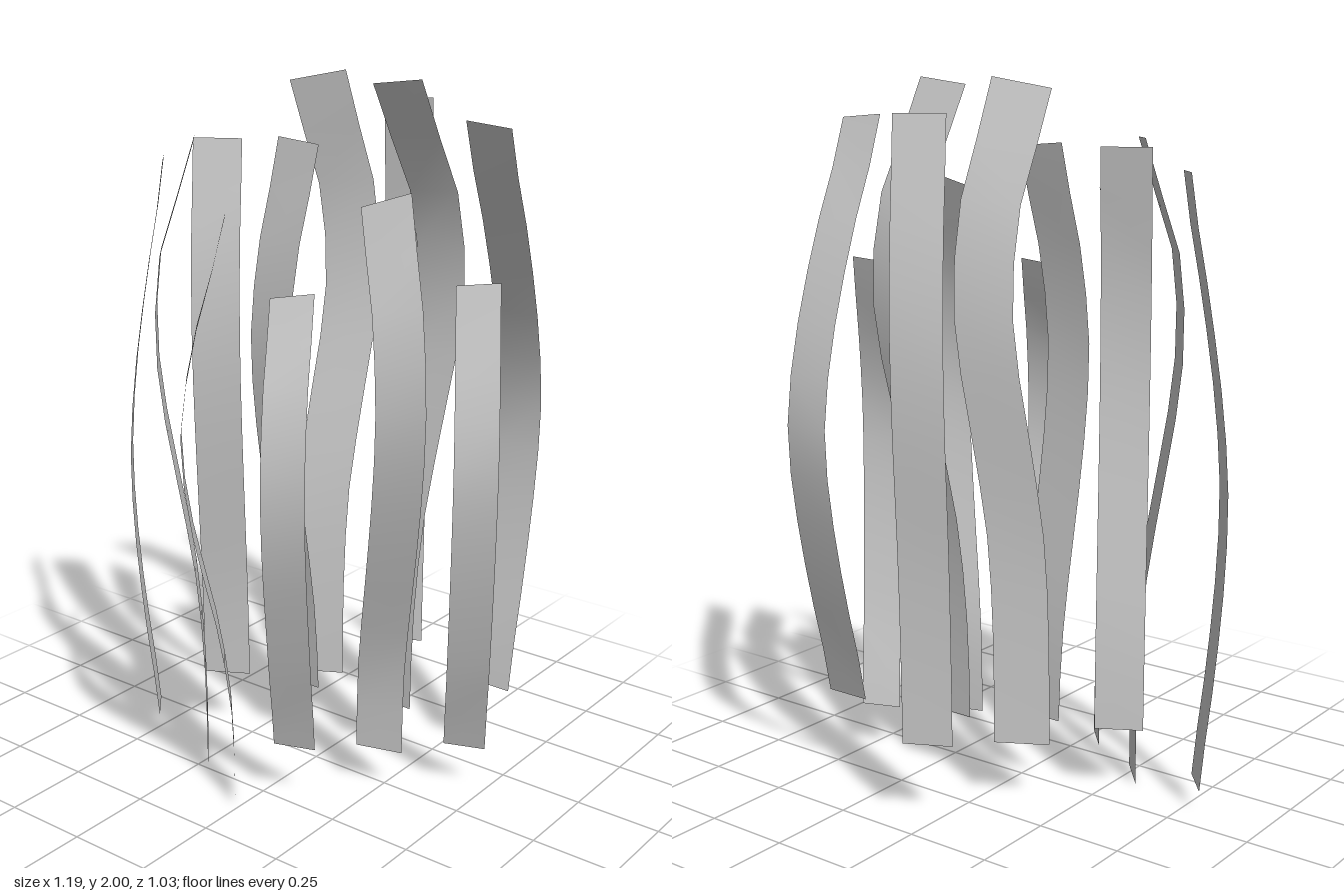
import * as THREE from 'three';

const ROWS = 12;
const material = new THREE.MeshStandardMaterial({ color: 0xcccccc, side: THREE.DoubleSide });

// A flat upright ribbon.
// edge: [x, z] of one lower corner, width: [x, z] across the ribbon,
// bow: [x, z] of the fullest sideways bend, shape: share of the bow from foot to tip,
// slant: how much higher the far corner of the tip is.
function ribbon(name, { edge, width, bow, foot, tip, slant = 0, shape }) {
  const profile = new THREE.SplineCurve(shape.map((f, i) => new THREE.Vector2(i, f)));
  const geometry = new THREE.PlaneGeometry(1, 1, 1, ROWS);
  const pos = geometry.attributes.position;
  for (let i = 0; i < pos.count; i++) {
    const u = pos.getX(i) + 0.5;
    const t = pos.getY(i) + 0.5;
    const f = profile.getPoint(t).y;
    const tilt = slant * (u - 0.5) * t ** 4;
    pos.setXYZ(
      i,
      edge[0] + width[0] * u + bow[0] * f,
      foot + (tip - foot) * t + tilt,
      edge[1] + width[1] * u + bow[1] * f
    );
  }
  geometry.computeVertexNormals();
  const mesh = new THREE.Mesh(geometry, material);
  mesh.name = name;
  return mesh;
}

export function createModel() {
  const group = new THREE.Group();
  group.name = 'ribbonCluster';
  group.add(
    // Right side
    ribbon('outerRightRibbon', {
      edge: [-0.507, 0.045], width: [0.08, 0.093], bow: [-0.09, 0.075],
      foot: 0.06, tip: 1.76, shape: [0.5, 0.75, 0.95, 1, 0.78, 0.4, 0] }),
    ribbon('frontRightRibbon', {
      edge: [-0.308, 0.137], width: [0.088, 0.103], bow: [-0.087, 0.075],
      foot: 0, tip: 1.84, shape: [0, 0.02, 0.2, 0.62, 0.98, 0.85, 0] }),
    ribbon('middleRightRibbon', {
      edge: [-0.372, 0.072], width: [0.12, -0.067], bow: [0.038, 0.067],
      foot: 0.2, tip: 1.82, shape: [0, 0.15, 0.5, 0.85, 1, 0.7, 0] }),

    // Centre
    ribbon('frontCentreRibbon', {
      edge: [-0.092, 0.268], width: [0.078, 0.089], bow: [-0.03, 0.155],
      foot: 0.02, tip: 1.675, slant: 0.03, shape: [0, 0.05, 0.35, 0.8, 1, 0.62, 0] }),
    ribbon('middleCentreRibbon', {
      edge: [-0.155, -0.033], width: [0.138, 0], bow: [-0.037, 0.083],
      foot: 0.21, tip: 1.825, slant: -0.01, shape: [0, 0.15, 0.5, 0.85, 1, 0.65, 0] }),
    ribbon('backCentreRibbon', {
      edge: [-0.192, -0.13], width: [0.136, -0.075], bow: [0.04, -0.113],
      foot: 0.18, tip: 1.985, slant: 0.03, shape: [0, 0.02, 0.17, 0.6, 1, 0.8, 0] }),
    ribbon('rearRibbon', {
      edge: [-0.058, -0.392], width: [0.124, -0.062], bow: [-0.036, -0.067],
      foot: 0.23, tip: 1.91, shape: [0, 0.1, 0.35, 0.8, 1, 0.65, 0] }),

    // Left side
    ribbon('frontLeftRibbon', {
      edge: [0.05, 0.26], width: [0.115, -0.04], bow: [0.08, 0.145],
      foot: 0.175, tip: 1.475, slant: 0.02, shape: [0, 0.35, 0.68, 0.95, 0.98, 0.65, 0] }),
    ribbon('middleLeftRibbon', {
      edge: [0.19, 0.057], width: [0.132, -0.038], bow: [0.138, 0.118],
      foot: 0.13, tip: 1.71, slant: 0.045, shape: [0, 0.08, 0.45, 0.82, 1, 0.72, 0] }),
    ribbon('outerLeftRibbon', {
      edge: [0.394, -0.088], width: [0.112, -0.042], bow: [0.088, 0.124],
      foot: 0.14, tip: 1.49, slant: 0.015, shape: [0, 0.42, 0.75, 0.97, 1, 0.6, 0] }),
    ribbon('backLeftRibbon', {
      edge: [0.097, -0.12], width: [0.156, 0], bow: [0.048, -0.156],
      foot: 0.19, tip: 1.99, slant: 0.02, shape: [0, 0.05, 0.25, 0.65, 1, 0.8, 0] }),
    ribbon('rearLeftRibbon', {
      edge: [0.363, -0.163], width: [0.138, 0], bow: [-0.057, -0.312],
      foot: 0.245, tip: 1.895, slant: -0.01, shape: [0.44, 0.68, 0.9, 1, 0.8, 0.43, 0] })
  );
  return group;
}
